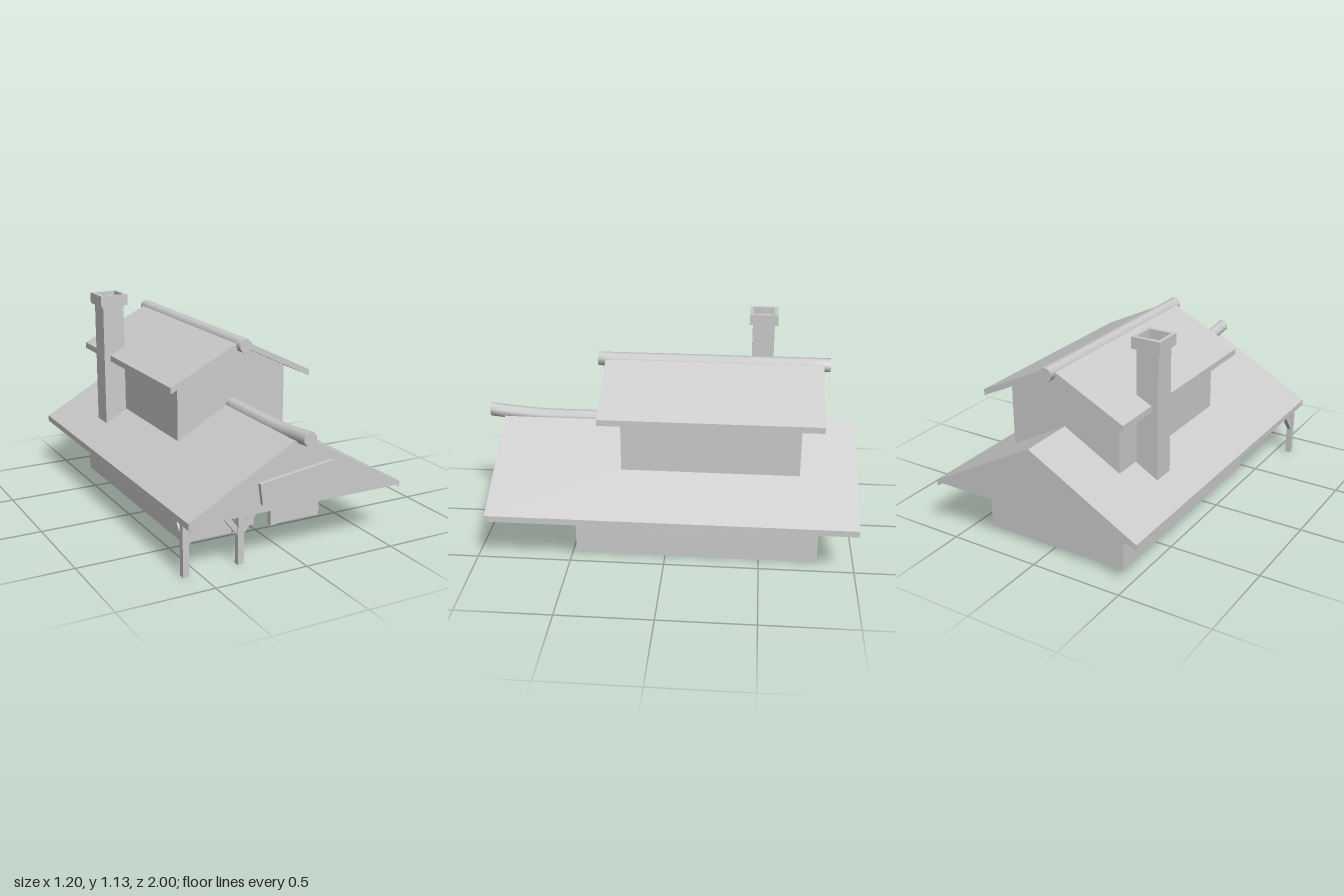
import * as THREE from 'three';

const grey = new THREE.MeshStandardMaterial({ color: 0xcccccc });
const thin = new THREE.MeshStandardMaterial({ color: 0xcccccc, side: THREE.DoubleSide });

function add(parent, name, geometry, material = grey) {
  const mesh = new THREE.Mesh(geometry, material);
  mesh.name = name;
  parent.add(mesh);
  return mesh;
}

const polygon = (points) => new THREE.Shape(points.map(([x, y]) => new THREE.Vector2(x, y)));
const rect = (x0, y0, x1, y1) => polygon([[x0, y0], [x1, y0], [x1, y1], [x0, y1]]);
const extrude = (shape, depth) =>
  new THREE.ExtrudeGeometry(shape, { depth, bevelEnabled: false, curveSegments: 8 });
const box = (x0, x1, y0, y1, z0, z1) =>
  new THREE.BoxGeometry(x1 - x0, y1 - y0, z1 - z0)
    .translate((x0 + x1) / 2, (y0 + y1) / 2, (z0 + z1) / 2);

// Upright or sheet panel facing along z
const panel = (parent, name, shape, z) =>
  add(parent, name, new THREE.ShapeGeometry(shape).translate(0, 0, z), thin);

// Side wall on the plane x = constant
function sideWall(parent, name, x, y0, y1, z0, z1) {
  const g = new THREE.PlaneGeometry(z1 - z0, y1 - y0).rotateY(Math.sign(x) * Math.PI / 2);
  add(parent, name, g.translate(x, (y0 + y1) / 2, (z0 + z1) / 2), thin);
}

// Roof slope: plan outline extruded downward, then sheared to its pitch
function roofSlope(parent, name, plan, apex, pitch) {
  for (const s of [-1, 1]) {
    const g = extrude(polygon(plan.map(([x, z]) => [s * x, z])), 0.033).rotateX(Math.PI / 2);
    const p = g.attributes.position;
    for (let i = 0; i < p.count; i++) p.setY(i, p.getY(i) + apex - pitch * Math.abs(p.getX(i)));
    g.computeVertexNormals();
    add(parent, name, g);
  }
}

// Eight-sided log along z, with an optional lift rule
function log(parent, name, y, z0, z1, lift = () => 0) {
  const g = new THREE.CylinderGeometry(0.037, 0.037, z1 - z0, 8, 12)
    .rotateY(Math.PI / 8).rotateX(Math.PI / 2).translate(0, y, (z0 + z1) / 2);
  const p = g.attributes.position;
  for (let i = 0; i < p.count; i++) p.setY(i, p.getY(i) + lift(p.getZ(i)));
  g.computeVertexNormals();
  add(parent, name, g);
}

// Square tube standing upright
function squareTube(parent, name, x, z, outer, inner, y0, y1) {
  const shape = rect(-outer, -outer, outer, outer);
  shape.holes.push(rect(-inner, -inner, inner, inner));
  add(parent, name, extrude(shape, y1 - y0).rotateX(-Math.PI / 2).translate(x, y0, z));
}

function lowerStorey() {
  const g = new THREE.Group();
  g.name = 'lowerStorey';
  const w = 0.41, back = -0.81, front = 0.48, top = 0.275;
  for (const s of [-1, 1]) sideWall(g, 'sideWall', s * w, 0, top, back, front);
  panel(g, 'backWall', rect(-w, 0, w, top), back);
  panel(g, 'frontWall', polygon([[-w, 0], [-0.1, 0], [-0.1, 0.2], [0.1, 0.2], [0.1, 0],
    [w, 0], [w, top], [-w, top]]), front);

  // Door frame
  for (const s of [-1, 1]) {
    add(g, 'doorJamb', box(s * 0.115 - 0.015, s * 0.115 + 0.015, 0, 0.2, 0.46, 0.492));
  }
  add(g, 'doorLintel', box(-0.135, 0.135, 0.198, 0.225, 0.46, 0.5));

  // Swing door with curved top and bottom, framed panel and hinge
  const door = new THREE.Shape();
  door.moveTo(0, 0.18);
  door.lineTo(-0.025, 0.178);
  door.bezierCurveTo(-0.055, 0.17, -0.055, 0.152, -0.092, 0.152);
  door.lineTo(-0.092, 0.052);
  door.bezierCurveTo(-0.055, 0.052, -0.055, 0.032, -0.025, 0.026);
  door.lineTo(0, 0.024);
  door.holes.push(rect(-0.085, 0.058, -0.01, 0.148));
  add(g, 'swingDoor', extrude(door, 0.016).translate(0, 0, 0.468));
  add(g, 'doorPanel', box(-0.086, -0.009, 0.057, 0.149, 0.472, 0.48));
  add(g, 'doorHinge', box(-0.1, -0.09, 0.08, 0.125, 0.47, 0.482));
  return g;
}

function lowerRoof() {
  const g = new THREE.Group();
  g.name = 'lowerRoof';
  // Slopes are notched around the upper storey
  roofSlope(g, 'lowerRoofSlope', [[0, -1], [0.6, -1], [0.6, 0.92], [0, 0.92],
    [0, 0.24], [0.32, 0.24], [0.32, -0.7], [0, -0.7]], 0.64, 0.553);
  for (const z of [-0.97, 0.89]) {
    panel(g, 'gable', polygon([[-0.6, 0.275], [0.6, 0.275], [0, 0.608]]), z);
  }
  // Flat soffit outside the walls
  const soffit = rect(-0.6, -0.97, 0.6, 0.89);
  soffit.holes.push(rect(-0.41, -0.81, 0.41, 0.48));
  add(g, 'soffit', new THREE.ShapeGeometry(soffit).rotateX(Math.PI / 2).translate(0, 0.275, 0), thin);
  log(g, 'lowerRidgeLog', 0.62, 0.23, 1,
    (z) => 0.026 * Math.min(1, Math.max(0, (z - 0.7) / 0.3)) ** 1.2);
  // Crooked sign board
  const sign = polygon([[-0.2, 0.32], [0.215, 0.35], [0.2, 0.485], [-0.215, 0.43]]);
  add(g, 'signBoard', extrude(sign, 0.025).translate(0, 0, 0.885));
  return g;
}

function upperStorey() {
  const g = new THREE.Group();
  g.name = 'upperStorey';
  for (const s of [-1, 1]) sideWall(g, 'upperSideWall', s * 0.32, 0.43, 0.8, -0.7, 0.24);
  for (const z of [-0.7, 0.24]) {
    panel(g, 'upperGableWall', polygon([[-0.32, 0.43], [0, 0.607], [0.32, 0.43],
      [0.32, 0.8], [0, 0.958], [-0.32, 0.8]]), z);
  }
  roofSlope(g, 'upperRoofSlope', [[0, -0.81], [0.41, -0.81], [0.41, 0.35], [0, 0.35]], 0.99, 0.495);
  log(g, 'upperRidgeLog', 0.965, -0.845, 0.39);
  return g;
}

// Porch post with diagonal braces; each brace rises in direction angle a (0 = +x)
function porchPost(x, angles) {
  const g = new THREE.Group();
  g.name = 'porchPost';
  add(g, 'post', box(-0.016, 0.016, 0, 0.275, -0.016, 0.016));
  for (const a of angles) {
    const brace = extrude(polygon([[0.014, 0.15], [0.11, 0.275], [0.072, 0.275], [0.014, 0.196]]), 0.022);
    add(g, 'brace', brace.translate(0, 0, -0.011).rotateY(a));
  }
  g.position.set(x, 0, 0.818);
  return g;
}

export function createModel() {
  const model = new THREE.Group();
  model.name = 'house';
  model.add(lowerStorey(), lowerRoof(), upperStorey());
  model.add(porchPost(-0.571, [0, Math.PI / 2]));
  model.add(porchPost(-0.274, [0, Math.PI / 2, Math.PI]));

  const chimney = new THREE.Group();
  chimney.name = 'chimney';
  squareTube(chimney, 'chimneyShaft', -0.385, -0.49, 0.061, 0.053, 0.38, 1.08);
  squareTube(chimney, 'chimneyCap', -0.385, -0.49, 0.079, 0.06, 1.07, 1.13);
  model.add(chimney);
  return model;
}
